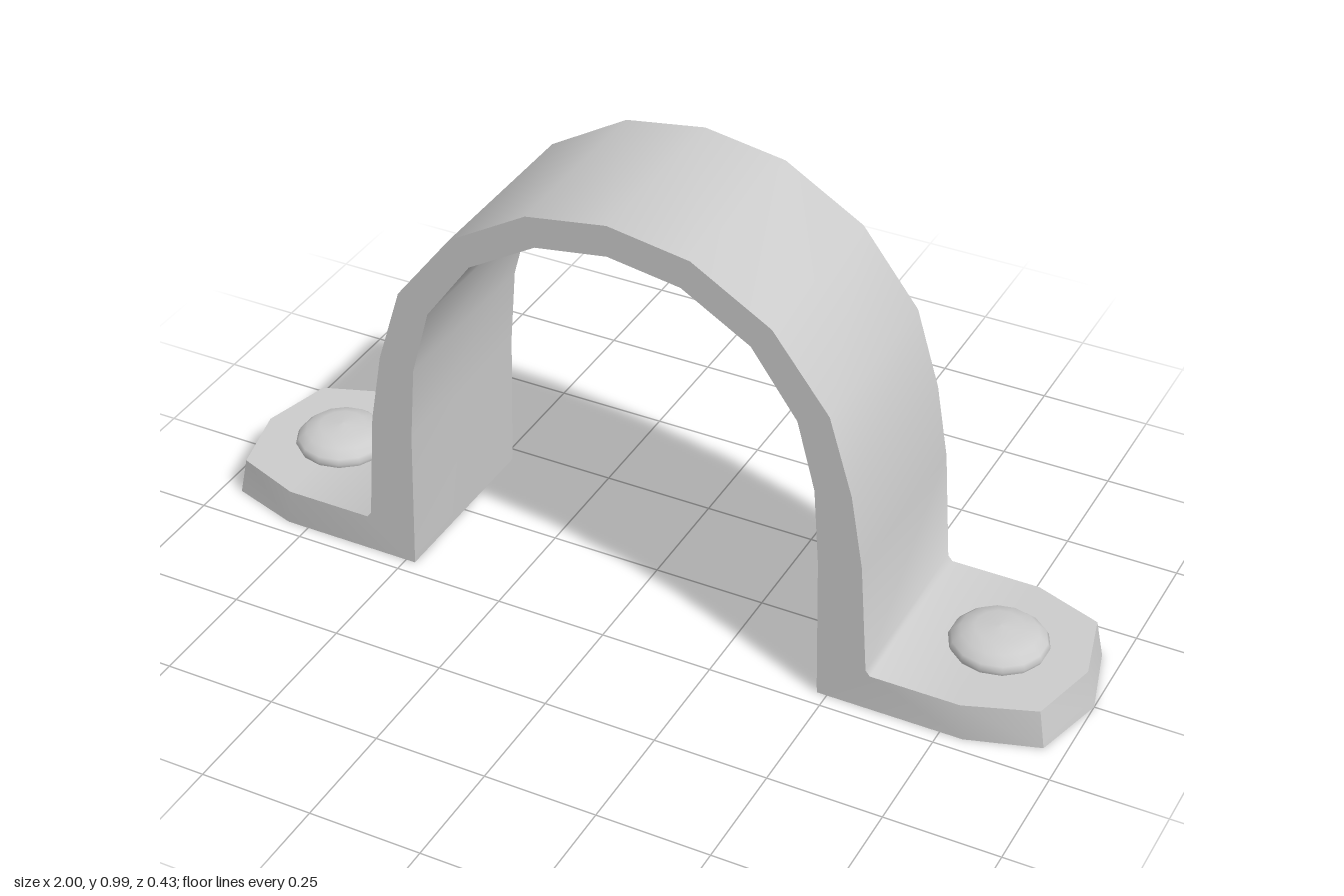
import * as THREE from 'three';
import { toCreasedNormals } from 'three/addons/utils/BufferGeometryUtils.js';

const material = new THREE.MeshStandardMaterial({ color: 0xcccccc });

// Sweep of four-cornered sections: [outer x, outer y, inner x, inner y, outer half width, inner half width]
function sweepStrap(stations) {
  const sections = stations.map(([ox, oy, ix, iy, ow, iw]) => [
    [ox, oy, ow], [ox, oy, -ow], [ix, iy, -iw], [ix, iy, iw],
  ]);
  const positions = [];
  for (let s = 0; s < sections.length - 1; s++) {
    for (let k = 0; k < 4; k++) {
      const n = (k + 1) % 4;
      const a = sections[s][k], b = sections[s][n];
      const c = sections[s + 1][n], d = sections[s + 1][k];
      // Skip the collapsed halves at the pointed tips
      if (a.join() !== b.join()) positions.push(...a, ...b, ...c);
      if (c.join() !== d.join()) positions.push(...a, ...c, ...d);
    }
  }
  const geometry = new THREE.BufferGeometry();
  geometry.setAttribute('position', new THREE.Float32BufferAttribute(positions, 3));
  return toCreasedNormals(geometry, 0.9);
}

export function createModel() {
  const group = new THREE.Group();
  group.name = 'pipeStrap';

  // Half of the strap, from the tip of the foot to the crown of the arch
  const W = 0.215;
  const half = [
    [0.98, 0.085, 1.0, 0, 0, 0],
    [0.94, 0.085, 0.955, 0, 0.16, 0.166],
    [0.79, 0.085, 0.8, 0, W, W],
    [0.593, 0.085, 0.478, 0, W, W],
    [0.583, 0.097, 0.477, 0.02, W, W],
    [0.565, 0.35, 0.47, 0.33, W, W],
    [0.537, 0.515, 0.457, 0.505, W, W],
    [0.484, 0.688, 0.416, 0.657, W, W],
    [0.357, 0.852, 0.313, 0.8, W, W],
    [0.181, 0.956, 0.161, 0.89, W, W],
    [0, 0.985, 0, 0.915, W, W],
  ];
  const mirrored = half.slice(0, -1).reverse()
    .map(([ox, oy, ix, iy, ow, iw]) => [-ox, oy, -ix, iy, ow, iw]);
  const strap = new THREE.Mesh(sweepStrap([...half, ...mirrored]), material);
  strap.name = 'strap';
  group.add(strap);

  // Domed screw heads on both feet
  const profile = [
    [0.1, 0.082], [0.106, 0.095], [0.1, 0.106], [0.082, 0.122], [0.052, 0.132], [0, 0.136],
  ].map(([r, y]) => new THREE.Vector2(r, y));
  const headGeometry = new THREE.LatheGeometry(profile, 14);
  for (const side of [1, -1]) {
    const head = new THREE.Mesh(headGeometry, material);
    head.name = side > 0 ? 'leftScrewHead' : 'rightScrewHead';
    head.position.x = side * 0.786;
    group.add(head);
  }
  return group;
}
